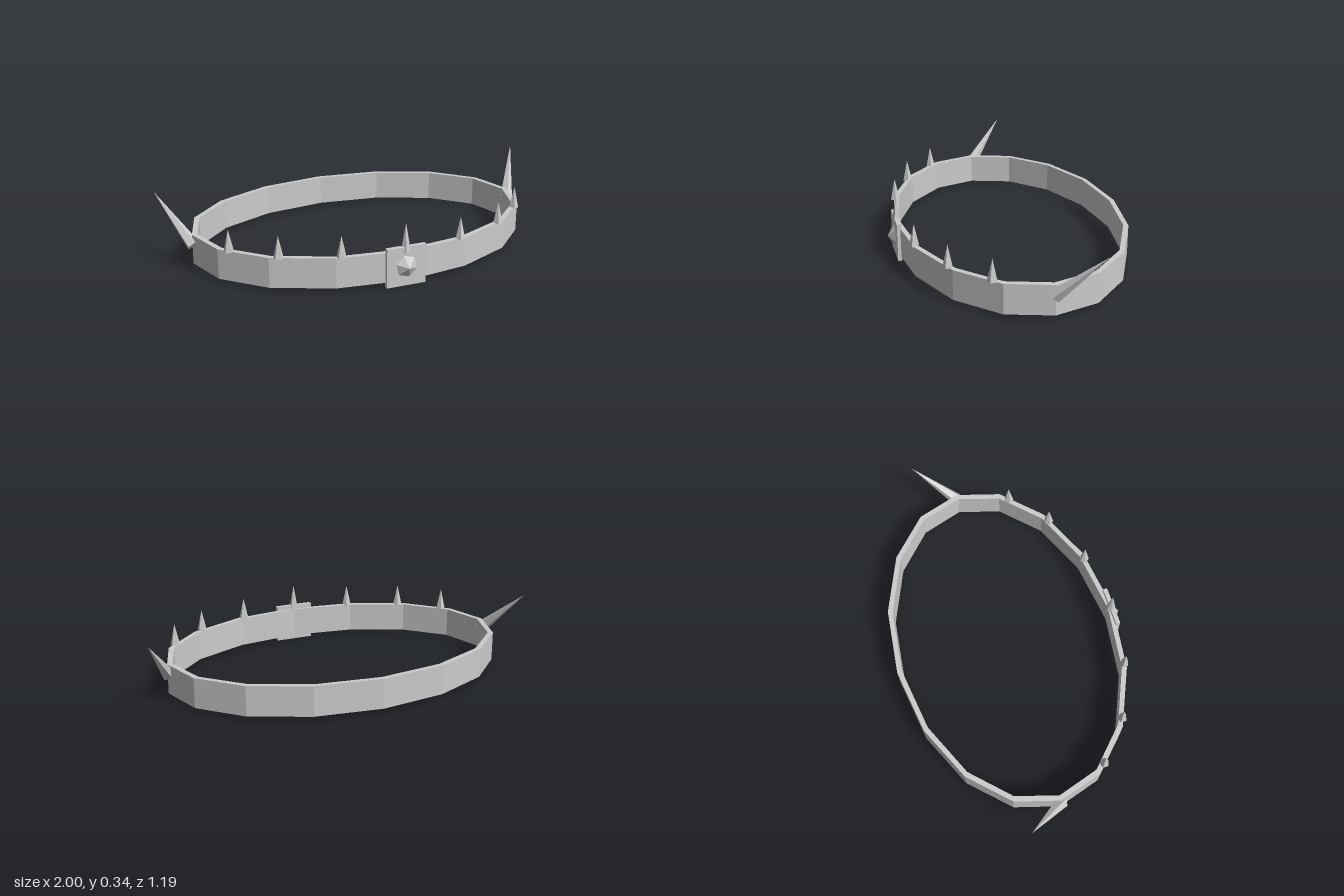
import * as THREE from 'three';

const CENTER_Z = -0.0175;
const material = new THREE.MeshStandardMaterial({ color: 0xcccccc, flatShading: true });

function add(group, name, geometry) {
  const mesh = new THREE.Mesh(geometry, material);
  mesh.name = name;
  group.add(mesh);
  return mesh;
}

// Five-sided spike from base centre to tip, with one flat face turned to the given side
function addSpike(group, name, base, tip, radius, side) {
  const axis = tip.clone().sub(base);
  const length = axis.length();
  const geometry = new THREE.ConeGeometry(radius, length, 5, 1, false, -side * Math.PI / 2);
  geometry.translate(0, length / 2, 0);
  const spike = add(group, name, geometry);
  spike.position.copy(base);
  spike.quaternion.setFromUnitVectors(new THREE.Vector3(0, 1, 0), axis.normalize());
}

// Corners of a 16-sided oval, counter-clockwise
function ovalPoints(rx, rz) {
  return Array.from({ length: 16 }, (_, i) => {
    const a = (i / 16) * Math.PI * 2;
    return new THREE.Vector2(Math.cos(a) * rx, Math.sin(a) * rz);
  });
}

export function createModel() {
  const group = new THREE.Group();
  group.name = 'spikedCirclet';

  // Oval faceted band
  const oval = new THREE.Shape(ovalPoints(0.87, 0.578));
  oval.holes.push(new THREE.Path(ovalPoints(0.843, 0.553)));
  const band = new THREE.ExtrudeGeometry(oval, { depth: 0.15, bevelEnabled: false });
  band.rotateX(-Math.PI / 2);
  band.translate(0, 0.023, CENTER_Z);
  add(group, 'band', band);

  // Front plate with a six-sided stud
  add(group, 'frontPlate', new THREE.BoxGeometry(0.2, 0.195, 0.022)).position.set(0, 0.0975, 0.553);
  const stud = new THREE.ConeGeometry(0.064, 0.04, 6, 1, false, 0.25);
  stud.rotateX(Math.PI / 2);
  add(group, 'frontStud', stud).position.set(0, 0.098, 0.579);

  // Upright spikes along the front rim
  addSpike(group, 'centerSpike', new THREE.Vector3(0, 0.17, 0.55),
    new THREE.Vector3(0, 0.308, 0.55), 0.025, 1);
  const rimSpots = [[0.305, 0.512], [0.572, 0.404], [0.76, 0.242]];
  for (const side of [-1, 1]) {
    for (const [x, z] of rimSpots) {
      addSpike(group, 'rimSpike', new THREE.Vector3(side * x, 0.17, z),
        new THREE.Vector3(side * x, 0.281, z), 0.025, side);
    }
    // Long side spike swept outward, up and back
    addSpike(group, 'sideSpike', new THREE.Vector3(side * 0.867, 0.12, -0.012),
      new THREE.Vector3(side, 0.345, -0.214), 0.034, side);
  }
  return group;
}
